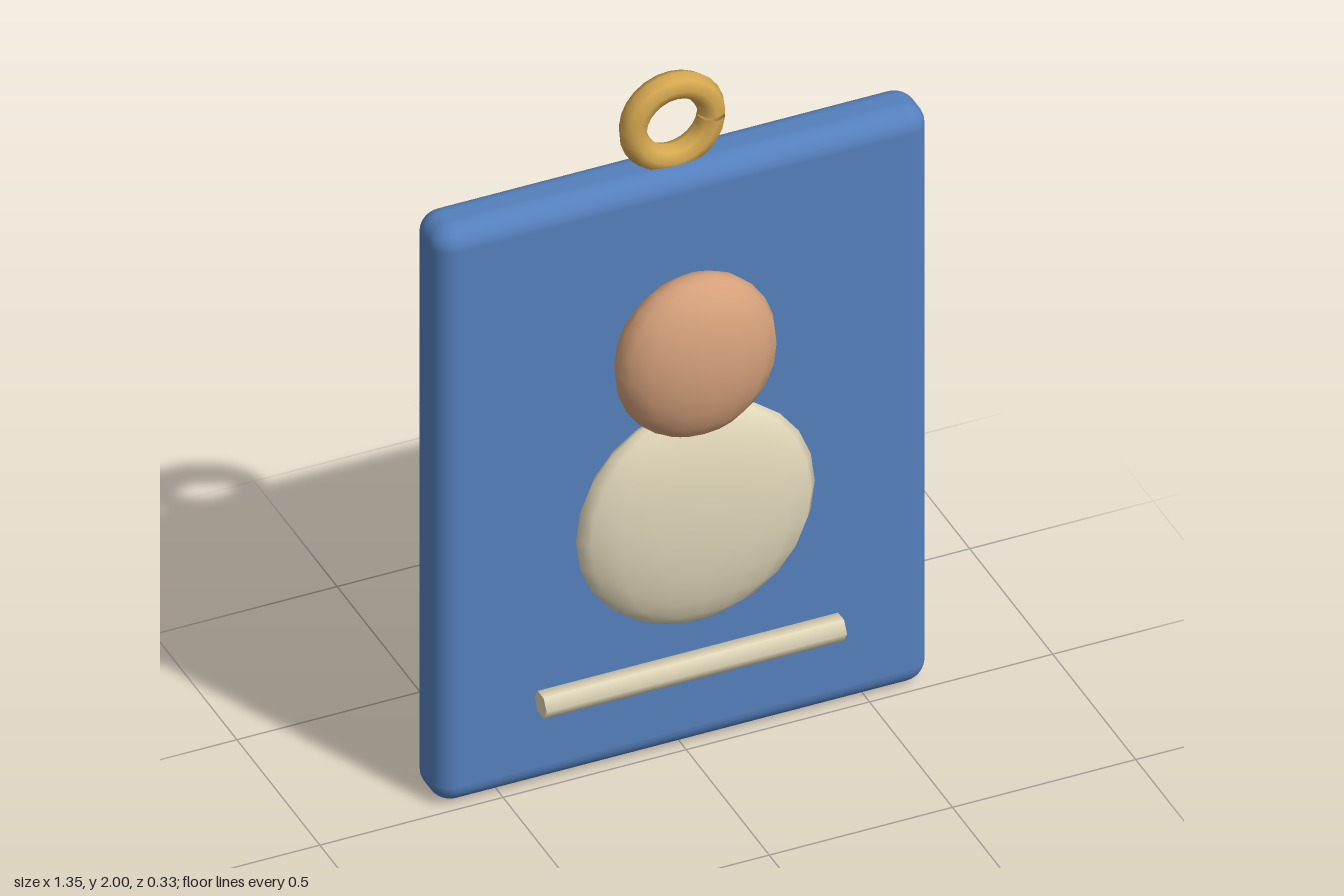
import * as THREE from 'three';
import { RoundedBoxGeometry } from 'three/addons/geometries/RoundedBoxGeometry.js';

const material = (name, color) => {
  const m = new THREE.MeshStandardMaterial({ color });
  m.name = name;
  return m;
};

export function createModel() {
  const model = new THREE.Group();
  model.name = 'portraitTag';

  const blue = material('blue', 0x5580bd);
  const skin = material('skin', 0xd4a07a);
  const cream = material('cream', 0xe0d6b8);
  const gold = material('gold', 0xd6a850);

  const add = (name, geometry, mat, x, y, z) => {
    const mesh = new THREE.Mesh(geometry, mat);
    mesh.name = name;
    mesh.position.set(x, y, z);
    model.add(mesh);
    return mesh;
  };
  const ellipsoid = (rx, ry, rz) => new THREE.SphereGeometry(1, 16, 12).scale(rx, ry, rz);

  // Rounded card
  add('card', new RoundedBoxGeometry(1.35, 1.745, 0.158, 4, 0.06), blue, 0, 0.8725, -0.086);

  // Portrait relief: head over shoulders
  add('head', ellipsoid(0.219, 0.238, 0.11), skin, 0, 1.237, 0.055);
  add('body', ellipsoid(0.326, 0.326, 0.087), cream, 0, 0.76, 0.055);

  // Hexagonal name bar lying across the card
  const bar = new THREE.CylinderGeometry(0.036, 0.036, 0.82, 6).rotateZ(Math.PI / 2);
  add('nameBar', bar, cream, 0, 0.273, 0.028);

  // Hanging ring with a narrow slit on its left side
  const ringMat = gold;
  ringMat.side = THREE.DoubleSide;
  add('ring', new THREE.TorusGeometry(0.107, 0.037, 8, 24, 6.2), ringMat, 0, 1.857, -0.086);

  return model;
}
